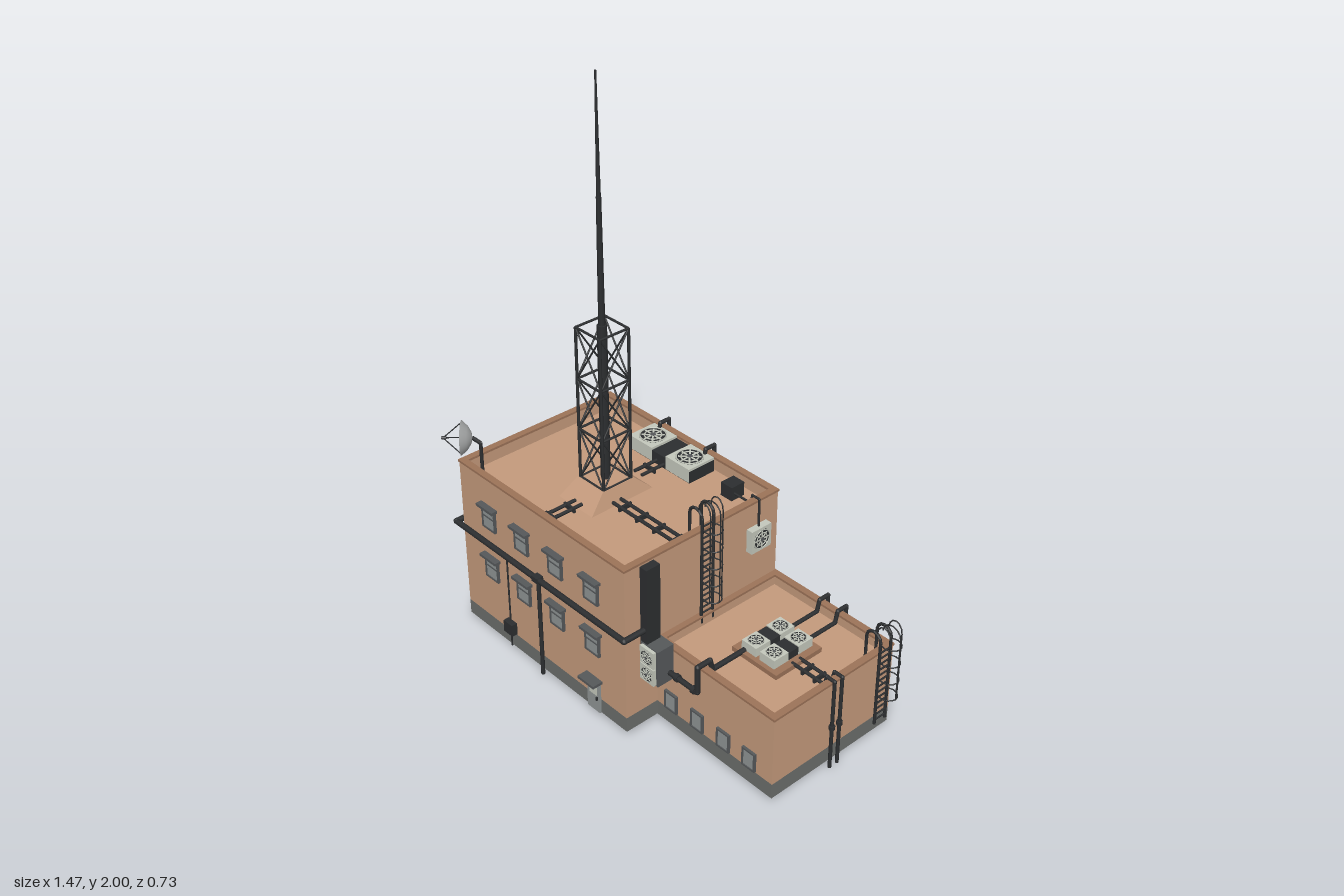
import * as THREE from 'three';

const mat = (color) => new THREE.MeshStandardMaterial({ color, side: THREE.DoubleSide });
const BRICK = mat(0xc49a7c), CURB = mat(0x9c7358), STONE = mat(0x6b6e6b), DARK = mat(0x2c2e30);
const STEEL = mat(0x55585a), PALE = mat(0xc4c8bc), GLASS = mat(0x8e9494), DISH = mat(0xa4a6a6);
const V = (x, y, z) => new THREE.Vector3(x, y, z);

// main block, annex and levels
const X0 = -0.675, XM = 0.145, X1 = 0.655, ZB = -0.31, ZF = 0.334, ZA = 0.206;
const Y0 = 0.02, TOP = 0.645, ROOF = 0.59, ATOP = 0.33, AROOF = 0.285;

function group(parent, name, x = 0, y = 0, z = 0) {
  const g = new THREE.Group();
  g.name = name;
  g.position.set(x, y, z);
  parent.add(g);
  return g;
}
function add(parent, name, geo, material, x = 0, y = 0, z = 0) {
  const m = new THREE.Mesh(geo, material);
  m.name = name;
  m.position.set(x, y, z);
  parent.add(m);
  return m;
}
const box = (p, name, m, w, h, d, x, y, z) => add(p, name, new THREE.BoxGeometry(w, h, d), m, x, y, z);

// round bar between two points
function rod(p, name, a, b, r, m = DARK, r2 = r) {
  const d = b.clone().sub(a);
  const s = add(p, name, new THREE.CylinderGeometry(r2, r, d.length(), 8), m);
  s.position.copy(a).addScaledVector(d, 0.5);
  s.quaternion.setFromUnitVectors(V(0, 1, 0), d.normalize());
  return s;
}
// bent pipe with ball elbows
function pipe(p, name, pts, r, m = DARK) {
  const g = group(p, name), v = pts.map((q) => V(...q));
  for (let i = 1; i < v.length; i++) {
    rod(g, 'pipeRun', v[i - 1], v[i], r, m);
    if (i < v.length - 1) add(g, 'elbow', new THREE.SphereGeometry(r * 1.05, 8, 6), m).position.copy(v[i]);
  }
  return g;
}
// open ring of upright walls around an outline
function walls(p, name, outline, y0, y1, m) {
  const pos = [];
  outline.forEach(([x, z], i) => {
    const [u, w] = outline[(i + 1) % outline.length];
    pos.push(x, y0, z, u, y0, w, u, y1, w, x, y0, z, u, y1, w, x, y1, z);
  });
  const g = new THREE.BufferGeometry();
  g.setAttribute('position', new THREE.Float32BufferAttribute(pos, 3));
  g.computeVertexNormals();
  return add(p, name, g, m);
}
// roof slab with a raised edge
function roof(p, name, x0, x1, z0, z1, yRoof, yTop) {
  const g = group(p, name), t = 0.018, cx = (x0 + x1) / 2, cz = (z0 + z1) / 2;
  box(g, 'roofDeck', BRICK, x1 - x0 - 0.004, 0.006, z1 - z0 - 0.004, cx, yRoof, cz);
  const h = yTop - yRoof, ym = (yTop + yRoof) / 2;
  for (const [x, z, w, d] of [[cx, z0 + t / 2, x1 - x0, t], [cx, z1 - t / 2, x1 - x0, t],
    [x0 + t / 2, cz, t, z1 - z0], [x1 - t / 2, cz, t, z1 - z0]]) {
    box(g, 'parapet', BRICK, w - 0.002, h - 0.004, d - 0.002, x, ym, z);
    box(g, 'coping', CURB, w + 0.006, 0.008, d + 0.006, x, yTop - 0.004, z);
  }
}
// square fan unit facing +z, its back at z = 0
function fan(p, name, size, depth, x, y, z) {
  const g = group(p, name, x, y, z), r = size * 0.42;
  box(g, 'housing', PALE, size, size, depth, 0, 0, depth / 2);
  add(g, 'well', new THREE.CircleGeometry(r, 24), DARK, 0, 0, depth + 0.001);
  for (const k of [0.95, 0.62]) add(g, 'guardRing', new THREE.TorusGeometry(r * k, r * 0.055, 5, 24), PALE, 0, 0, depth + 0.002);
  for (let i = 0; i < 8; i++) {
    const a = (i * Math.PI) / 4;
    box(g, 'blade', PALE, r * 0.65, r * 0.13, 0.002, Math.cos(a) * r * 0.5, Math.sin(a) * r * 0.5, depth + 0.002).rotation.z = a;
  }
  add(g, 'hub', new THREE.CircleGeometry(r * 0.22, 12), STEEL, 0, 0, depth + 0.004);
  return g;
}
// front window with frame, mid rail, sill and lintel
function window_(p, x, y, z, w, h, lintel) {
  const g = group(p, 'window', x, y, z);
  box(g, 'pane', GLASS, w - 0.008, h - 0.008, 0.012, 0, 0, 0);
  for (const s of [-1, 1]) {
    box(g, 'jamb', STEEL, 0.006, h, 0.018, s * (w / 2 - 0.003), 0, 0);
    box(g, 'rail', STEEL, w, 0.006, 0.018, 0, s * (h / 2 - 0.003), 0);
  }
  if (!lintel) return;
  box(g, 'midRail', STEEL, w, 0.005, 0.016, 0, 0.005, 0);
  box(g, 'lintel', STEEL, w + 0.016, 0.01, 0.03, 0, h / 2 + 0.002, 0.008);
}
// two parallel roof pipes with cross clamps
function pipePair(p, x0, z0, x1, z1, y, gap) {
  const g = group(p, 'roofPipes'), alongX = Math.abs(x1 - x0) > Math.abs(z1 - z0);
  for (const s of [-gap / 2, gap / 2]) {
    const ox = alongX ? 0 : s, oz = alongX ? s : 0;
    rod(g, 'roofPipe', V(x0 + ox, y, z0 + oz), V(x1 + ox, y, z1 + oz), 0.006);
  }
  const n = Math.max(1, Math.round(Math.hypot(x1 - x0, z1 - z0) / 0.08));
  for (let i = 0; i < n; i++) {
    const t = (i + 0.5) / n;
    box(g, 'clamp', DARK, alongX ? 0.008 : gap + 0.02, 0.016, alongX ? gap + 0.02 : 0.008, x0 + (x1 - x0) * t, y - 0.003, z0 + (z1 - z0) * t);
  }
}
// caged ladder on a wall facing +x
function ladder(p, x, z, y0, top, deck, cageLow) {
  const g = group(p, 'ladder', x, 0, z), hw = 0.024;
  for (const s of [-hw, hw]) {
    const pts = [[0.014, y0, s], [0.014, top + 0.05, s]];
    for (let i = 1; i < 6; i++) pts.push([-0.014 + 0.028 * Math.cos(i * Math.PI / 6), top + 0.05 + 0.028 * Math.sin(i * Math.PI / 6), s]);
    pts.push([-0.042, top + 0.05, s], [-0.042, deck, s]);
    pipe(g, 'handrail', pts, 0.005);
  }
  for (let y = y0 + 0.015; y < top + 0.03; y += 0.022) rod(g, 'rung', V(0.014, y, -hw), V(0.014, y, hw), 0.003);
  const arch = (a) => [0.035 + 0.035 * Math.cos(a), 0.03 * Math.sin(a)];
  for (let y = cageLow; y < top + 0.07; y += 0.065) {
    const pts = [[0.014, y, -hw]];
    for (let i = -4; i <= 4; i++) { const [u, w] = arch(i * Math.PI / 8); pts.push([u, y, w]); }
    pipe(g, 'cageHoop', [...pts, [0.014, y, hw]], 0.0022);
  }
  for (const a of [-Math.PI / 3, 0, Math.PI / 3]) {
    const [u, w] = arch(a), pts = [[u, cageLow, w]];
    for (let i = 0; i <= 6; i++) pts.push([u / 2 + u / 2 * Math.cos(i * Math.PI / 6), top + 0.08 + 0.035 * Math.sin(i * Math.PI / 6), w]);
    pipe(g, 'cageBar', pts, 0.0022);
  }
}

export function createModel() {
  const model = new THREE.Group();
  model.name = 'radioStation';
  const b = group(model, 'building');
  b.rotation.y = -0.068;

  // shell, open below
  const ell = [[X0, ZF], [XM, ZF], [XM, ZA], [X1, ZA], [X1, ZB], [X0, ZB]];
  walls(b, 'plinth', ell, Y0, 0.075, STONE);
  walls(b, 'lowerWalls', ell, 0.075, ATOP, BRICK);
  walls(b, 'upperWalls', [[X0, ZF], [XM, ZF], [XM, ZB], [X0, ZB]], ATOP, TOP, BRICK);
  roof(b, 'mainRoof', X0, XM, ZB, ZF, ROOF, TOP);
  roof(b, 'annexRoof', XM, X1, ZB, ZA, AROOF, ATOP);

  // windows and door
  for (const x of [-0.523, -0.353, -0.182, -0.008]) for (const y of [0.49, 0.29]) window_(b, x, y, ZF, 0.068, 0.085, true);
  for (const x of [0.215, 0.333, 0.449, 0.56]) window_(b, x, 0.115, ZA, 0.055, 0.07, false);
  const door = group(b, 'door', -0.008, 0, ZF);
  box(door, 'doorLeaf', GLASS, 0.06, 0.12, 0.014, 0, 0.08, 0);
  box(door, 'doorPanel', PALE, 0.035, 0.04, 0.018, 0, 0.105, 0);
  box(door, 'handle', DARK, 0.006, 0.012, 0.026, 0.02, 0.075, 0);
  box(door, 'canopy', STEEL, 0.076, 0.01, 0.045, 0, 0.146, 0.016);

  // wall pipes
  pipe(b, 'beltPipe', [[X0 - 0.018, 0.4, ZB + 0.025], [X0 - 0.018, 0.4, ZF + 0.018], [XM + 0.016, 0.4, ZF + 0.018], [XM + 0.016, 0.4, 0.25]], 0.01);
  pipe(b, 'frontDownpipe', [[-0.262, 0.4, ZF + 0.012], [-0.262, 0.01, ZF + 0.012]], 0.007);
  box(b, 'pipeJoint', DARK, 0.03, 0.02, 0.025, -0.262, 0.4, ZF + 0.016);
  pipe(b, 'sideDownpipe', [[X0 - 0.012, 0.4, 0.0], [X0 - 0.012, 0.01, 0.0]], 0.007);
  pipe(b, 'conduit', [[-0.437, 0.37, ZF + 0.005], [-0.437, 0.02, ZF + 0.005]], 0.003);
  box(b, 'meterBox', DARK, 0.045, 0.045, 0.022, -0.432, 0.102, ZF + 0.011);
  for (const [x, top, deck, zin] of [[-0.385, TOP, ROOF, -0.27], [-0.163, TOP, ROOF, -0.27], [0.368, ATOP, AROOF, -0.11], [0.446, ATOP, AROOF, -0.11]]) {
    pipe(b, 'backDownpipe', [[x, deck + 0.02, zin], [x, deck + 0.02, ZB + 0.035], [x, top + 0.015, ZB + 0.025], [x, top + 0.015, ZB - 0.014], [x, 0, ZB - 0.014]], 0.007);
    for (const y of [0.16, top - 0.06]) add(b, 'collar', new THREE.CylinderGeometry(0.011, 0.011, 0.014, 8), DARK, x, y, ZB - 0.014);
  }
  for (const z of [-0.07, -0.037]) {
    pipe(b, 'annexSidePipe', [[0.49, AROOF + 0.018, z], [X1 - 0.03, AROOF + 0.018, z], [X1 - 0.022, ATOP + 0.008, z], [X1 + 0.01, ATOP + 0.008, z], [X1 + 0.01, 0, z]], 0.006);
    add(b, 'collar', new THREE.CylinderGeometry(0.01, 0.01, 0.014, 8), DARK, X1 + 0.01, 0.16, z);
  }
  for (const x of [0.54, 0.59]) box(b, 'clamp', DARK, 0.008, 0.016, 0.052, x, AROOF + 0.015, -0.053);

  // wall duct and twin-fan cooler in the corner
  box(b, 'wallDuct', DARK, 0.03, 0.3, 0.055, XM + 0.015, 0.48, 0.245);
  const cooler = group(b, 'cornerCooler', XM + 0.042, 0.285, 0.21);
  box(cooler, 'coolerBody', STEEL, 0.078, 0.135, 0.065, 0, 0, 0.032);
  for (const s of [-1, 1]) fan(cooler, 'coolerFan', 0.062, 0.012, 0, s * 0.033, 0.064);
  pipe(b, 'coolerPipe', [[XM + 0.08, 0.25, 0.226], [0.35, 0.25, 0.226], [0.35, 0.345, 0.226], [0.35, 0.345, 0.175], [0.35, AROOF + 0.02, 0.165], [0.35, AROOF + 0.02, 0.0]], 0.009);
  for (const x of [0.26, 0.335]) add(b, 'collar', new THREE.CylinderGeometry(0.013, 0.013, 0.014, 10), DARK, x, 0.25, 0.226).rotation.z = Math.PI / 2;

  // roof coolers
  box(b, 'roofCoolerBody', DARK, 0.295, 0.045, 0.11, -0.271, ROOF + 0.024, -0.231);
  for (const x of [-0.361, -0.181]) fan(b, 'roofFan', 0.112, 0.05, x, ROOF + 0.005, -0.231).rotation.x = -Math.PI / 2;
  const ax = 0.407, az = -0.056;
  box(b, 'annexCurb', CURB, 0.19, 0.02, 0.2, ax, AROOF + 0.01, az);
  for (const i of [-1, 1]) {
    box(b, 'annexCoolerBody', DARK, 0.06, 0.03, 0.16, ax + i * 0.039, AROOF + 0.033, az);
    for (const j of [-1, 1]) fan(b, 'annexFan', 0.062, 0.034, ax + i * 0.039, AROOF + 0.018, az + j * 0.053).rotation.x = -Math.PI / 2;
  }
  pipePair(b, -0.265, -0.18, -0.265, -0.08, ROOF + 0.018, 0.035);
  pipePair(b, -0.265, 0.17, -0.265, ZF - 0.015, ROOF + 0.018, 0.032);
  pipePair(b, -0.19, 0.075, XM - 0.015, 0.075, ROOF + 0.018, 0.032);

  // side wall fan fed from a roof box
  fan(b, 'sideFan', 0.085, 0.025, XM, 0.51, -0.217).rotation.y = Math.PI / 2;
  box(b, 'roofBox', DARK, 0.05, 0.05, 0.055, 0.019, ROOF + 0.03, -0.232);
  pipe(b, 'fanConduit', [[0.03, ROOF + 0.03, -0.217], [XM - 0.025, ROOF + 0.03, -0.217], [XM - 0.022, TOP + 0.008, -0.217], [XM + 0.01, TOP + 0.008, -0.217], [XM + 0.01, 0.55, -0.217]], 0.004);

  ladder(b, XM, 0.008, 0.3, TOP, ROOF, 0.4);
  ladder(b, X1, -0.256, 0.06, ATOP, AROOF, 0.18);

  // mast footing: a box narrowed towards its top
  const tx = -0.269, tz = 0.053, base = 0.65, bay = 0.18;
  const foot = new THREE.BoxGeometry(0.165, base - ROOF, 0.26), fp = foot.attributes.position;
  for (let i = 0; i < fp.count; i++) if (fp.getY(i) > 0) fp.setXYZ(i, fp.getX(i) * 0.76, fp.getY(i), fp.getZ(i) * 0.5);
  foot.computeVertexNormals();
  add(b, 'mastFooting', foot, BRICK, tx, (ROOF + base) / 2, tz);

  // lattice tower with zigzag bracing
  const tower = group(b, 'latticeTower', tx, base, tz), h = 0.057;
  for (let k = 0; k < 4; k++) {
    const side = group(tower, 'towerSide');
    side.rotation.y = (k * Math.PI) / 2;
    rod(side, 'leg', V(h, 0, h), V(h, 3 * bay, h), 0.005);
    for (let i = 0; i < 4; i++) rod(side, 'girt', V(-h, i * bay, h), V(h, i * bay, h), 0.004);
    for (let i = 0; i < 3; i++) for (const s of [-1, 1]) {
      rod(side, 'brace', V(s * h, i * bay, h), V(0, (i + 0.5) * bay, h), 0.003);
      rod(side, 'brace', V(0, (i + 0.5) * bay, h), V(s * h, (i + 1) * bay, h), 0.003);
    }
  }
  const mast = group(b, 'mast', tx, 0, tz);
  rod(mast, 'mastLower', V(0, base, 0), V(0, 1.2, 0), 0.016);
  rod(mast, 'mastMiddle', V(0, 1.2, 0), V(0, 1.62, 0), 0.011, DARK, 0.008);
  rod(mast, 'mastTip', V(0, 1.62, 0), V(0, 2, 0), 0.007, DARK, 0.003);

  // dish aerial: bowl opens along local +z
  const dish = group(b, 'dish', -0.632, 0.735, 0.305);
  dish.rotation.y = -Math.PI / 4 + 0.05;
  const prof = [[0.001, 0], [0.02, 0.004], [0.04, 0.016], [0.058, 0.036]].map((q) => new THREE.Vector2(...q));
  add(dish, 'bowl', new THREE.LatheGeometry(prof, 24), DISH).rotation.x = Math.PI / 2;
  for (let i = 0; i < 3; i++) {
    const a = Math.PI / 2 + (i * Math.PI * 2) / 3;
    rod(dish, 'feedStrut', V(Math.cos(a) * 0.056, Math.sin(a) * 0.056, 0.035), V(0, 0, 0.095), 0.002);
  }
  rod(dish, 'feed', V(0, 0, 0.085), V(0, 0, 0.1), 0.006);
  rod(dish, 'dishArm', V(0, 0, 0), V(0, -0.02, -0.025), 0.007);
  rod(dish, 'dishPost', V(0, -0.02, -0.025), V(0, ROOF - 0.735, -0.025), 0.006);
  return model;
}
